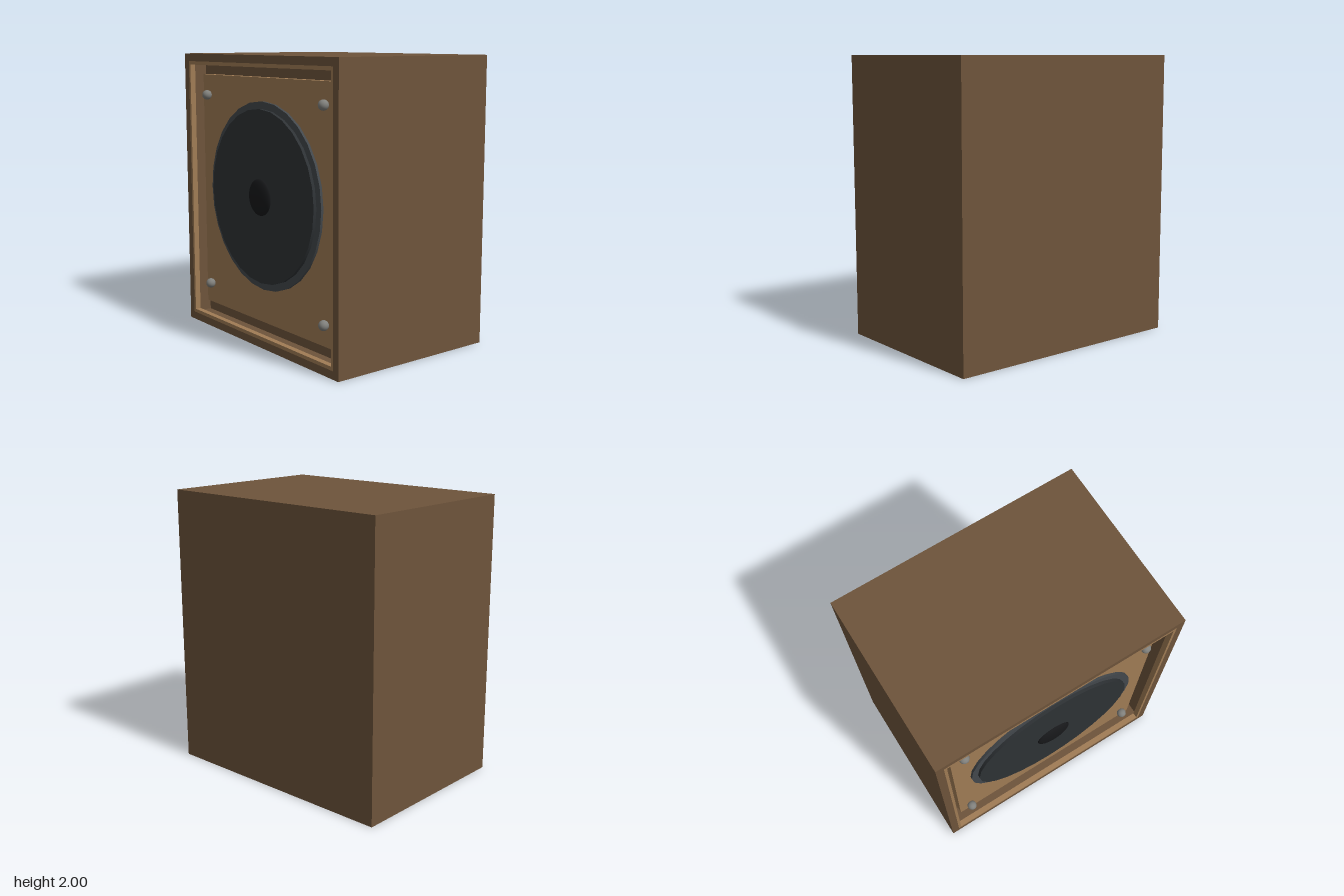
import * as THREE from 'three';

const W = 0.9, H = 2, D = 0.637;      // half width, height, half depth
const CY = 1, DRIVER_Y = 1.042;
const LEDGE_Z = 0.495, BAFFLE_Z = 0.557;

const mat = (color) => new THREE.MeshStandardMaterial({ color });
const wood = mat(0x6e543b), panel = mat(0xa07c55), rimMat = mat(0x43484c);
const coneMat = mat(0x2e3235), capMat = mat(0x17181a), metal = mat(0x80807c);

// Rectangular frame with a rectangular hole, running from z0 to z1
function frame(hw, hh, holeW, holeH, z0, z1) {
  const rect = (path, a, b) =>
    path.moveTo(-a, -b).lineTo(a, -b).lineTo(a, b).lineTo(-a, b).closePath();
  const shape = rect(new THREE.Shape(), hw, hh);
  shape.holes.push(rect(new THREE.Path(), holeW, holeH));
  const geo = new THREE.ExtrudeGeometry(shape, { depth: z1 - z0, bevelEnabled: false });
  return geo.translate(0, CY, z0);
}

// Box centred on x, running from z0 to z1
const slab = (w, h, z0, z1) =>
  new THREE.BoxGeometry(w, h, z1 - z0).translate(0, CY, (z0 + z1) / 2);

// Disc on the baffle facing +z
const disc = (r, z0, z1) =>
  new THREE.CylinderGeometry(r, r, z1 - z0, 28)
    .rotateX(Math.PI / 2).translate(0, DRIVER_Y, (z0 + z1) / 2);

export function createModel() {
  const model = new THREE.Group();
  model.name = 'speakerCabinet';
  const add = (name, geo, material) => {
    const mesh = new THREE.Mesh(geo, material);
    mesh.name = name;
    model.add(mesh);
    return mesh;
  };

  // Cabinet: solid body with a raised frame around the front recess
  add('cabinetBody', slab(2 * W, H, -D, LEDGE_Z), wood);
  add('cabinetFrame', frame(W, H / 2, 0.845, 0.945, LEDGE_Z, D), wood);

  // Light strip lining the mouth of the recess
  add('trim', frame(0.845, 0.945, 0.825, 0.92, D - 0.04, D), panel);

  // Recessed front board
  add('baffle', slab(1.55, 1.7, LEDGE_Z, BAFFLE_Z), panel);

  // Driver: rim, cone face and shallow centre dome
  add('driverRim', disc(0.65, BAFFLE_Z, 0.575), rimMat);
  add('driverCone', disc(0.6, 0.575, 0.597), coneMat);
  const cap = add('dustCap', new THREE.SphereGeometry(0.127, 24, 16), capMat);
  cap.scale.z = 0.25;
  cap.position.set(0, DRIVER_Y, 0.597);

  // Round bolt heads in the corners
  for (const x of [-0.685, 0.685]) {
    for (const y of [0.303, 1.705]) {
      add('bolt', new THREE.SphereGeometry(0.035, 16, 12), metal).position.set(x, y, 0.585);
    }
  }
  return model;
}
